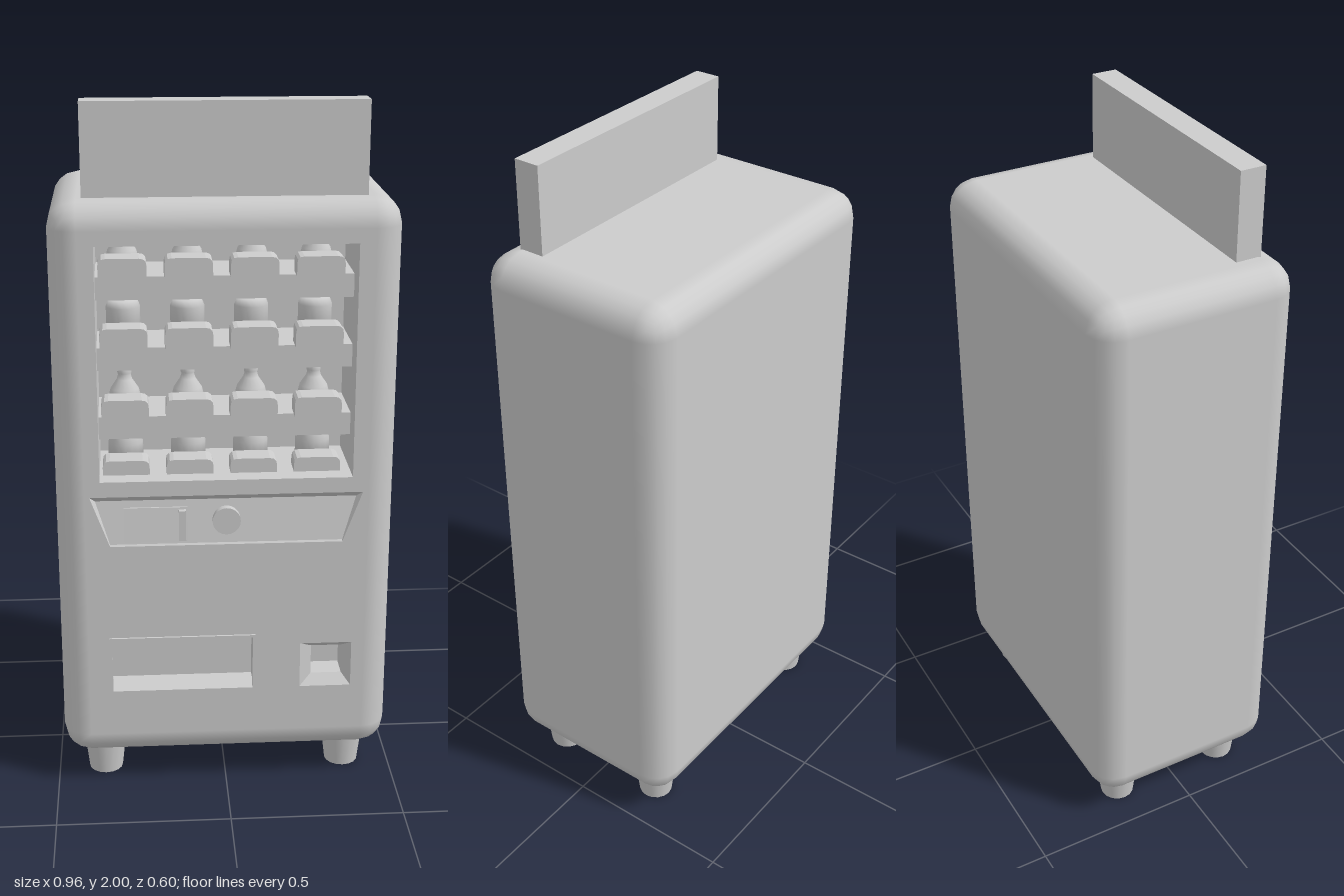
import * as THREE from 'three';
import { RoundedBoxGeometry } from 'three/addons/geometries/RoundedBoxGeometry.js';

const W = 0.96, H = 1.66, D = 0.59, R = 0.08, CY = 0.92, FRONT = D / 2;
const smooth = new THREE.MeshStandardMaterial({ color: 0xcccccc });
const flat = new THREE.MeshStandardMaterial({ color: 0xcccccc, flatShading: true });

function add(parent, name, geometry, x = 0, y = 0, z = 0, material = smooth) {
  const mesh = new THREE.Mesh(geometry, material);
  mesh.name = name;
  mesh.position.set(x, y, z);
  parent.add(mesh);
  return mesh;
}

const box = (w, h, d) => new THREE.BoxGeometry(w, h, d);
const rect = (x0, x1, y0, y1, z) => [[x0, y0, z], [x1, y0, z], [x1, y1, z], [x0, y1, z]];

// Inward-facing pocket between a front ring and a back ring of four corners
function pocket(front, back, closed = true) {
  const p = [];
  for (let i = 0; i < 4; i++) {
    const j = (i + 1) % 4;
    p.push(...front[i], ...front[j], ...back[j], ...front[i], ...back[j], ...back[i]);
  }
  if (closed) p.push(...back[0], ...back[1], ...back[2], ...back[0], ...back[2], ...back[3]);
  const g = new THREE.BufferGeometry();
  g.setAttribute('position', new THREE.Float32BufferAttribute(p, 3));
  g.computeVertexNormals();
  return g;
}

// Rounded shell without its flat front, which is rebuilt with openings
function openShell() {
  const src = new RoundedBoxGeometry(W, H, D, 2, R);
  const pos = src.attributes.position, nor = src.attributes.normal;
  const p = [], n = [];
  for (let i = 0; i < pos.count; i += 3) {
    if ([0, 1, 2].every((k) => pos.getZ(i + k) > FRONT - 1e-4)) continue;
    for (let k = i; k < i + 3; k++) {
      p.push(pos.getX(k), pos.getY(k), pos.getZ(k));
      n.push(nor.getX(k), nor.getY(k), nor.getZ(k));
    }
  }
  const g = new THREE.BufferGeometry();
  g.setAttribute('position', new THREE.Float32BufferAttribute(p, 3));
  g.setAttribute('normal', new THREE.Float32BufferAttribute(n, 3));
  return g;
}

function frontPanel(holes) {
  const toPoints = (ring) => ring.map(([x, y]) => new THREE.Vector2(x, y));
  const shape = new THREE.Shape(toPoints(rect(-W / 2 + R, W / 2 - R, CY - H / 2 + R, CY + H / 2 - R)));
  for (const ring of holes) shape.holes.push(new THREE.Path(toPoints(ring).reverse()));
  return new THREE.ShapeGeometry(shape);
}

const lathe = (profile) => new THREE.LatheGeometry(profile.map(([r, y]) => new THREE.Vector2(r, y)), 16);

// Label block with rounded top corners, standing on y = 0
function labelBlock(h) {
  const w = 0.066, r = 0.02, s = new THREE.Shape();
  s.moveTo(-w, 0);
  s.lineTo(w, 0);
  s.lineTo(w, h - r);
  s.quadraticCurveTo(w, h, w - r, h);
  s.lineTo(-w + r, h);
  s.quadraticCurveTo(-w, h, -w, h - r);
  return new THREE.ExtrudeGeometry(s, { depth: 0.07, bevelEnabled: false, curveSegments: 3 });
}

export function createModel() {
  const model = new THREE.Group();
  model.name = 'vendingMachine';

  // Cabinet
  const windowRing = rect(-0.355, 0.355, 0.965, 1.63, FRONT);
  const trayRing = rect(-0.335, 0.08, 0.31, 0.48, FRONT);
  const changeRing = rect(0.215, 0.365, 0.31, 0.45, FRONT);
  const controlRing = [[-0.33, 0.77, FRONT], [0.33, 0.77, FRONT], [0.385, 0.92, FRONT], [-0.385, 0.92, FRONT]];
  add(model, 'cabinetShell', openShell(), 0, CY, 0);
  add(model, 'frontPanel', frontPanel([windowRing, trayRing, changeRing, controlRing]), 0, 0, FRONT);

  // Recesses
  add(model, 'displayRecess', pocket(windowRing, rect(-0.355, 0.355, 0.965, 1.63, 0.03)), 0, 0, 0, flat);
  add(model, 'pickupRecess', pocket(trayRing, rect(-0.335, 0.08, 0.31, 0.48, 0.2)), 0, 0, 0, flat);
  const throat = rect(0.25, 0.34, 0.34, 0.43, 0.27);
  add(model, 'changeFunnel', pocket(changeRing, throat, false), 0, 0, 0, flat);
  add(model, 'changeRecess', pocket(throat, rect(0.25, 0.34, 0.34, 0.43, 0.2)), 0, 0, 0, flat);
  const slope = [[-0.33, 0.775, 0.291], [0.33, 0.775, 0.291], [0.37, 0.9, 0.27], [-0.37, 0.9, 0.27]];
  add(model, 'controlPanel', pocket(controlRing, slope), 0, 0, 0, flat);

  // Thin raised trim round the pickup opening
  const trim = 0.008;
  for (const y of [0.31, 0.48]) add(model, 'pickupTrim', box(0.415 + trim, trim, 0.012), -0.1275, y, FRONT);
  for (const x of [-0.335, 0.08]) add(model, 'pickupTrim', box(trim, 0.17, 0.012), x, 0.395, FRONT);

  // Coin plate and round button
  const plate = add(model, 'coinPlate', box(0.18, 0.1, 0.02), -0.2, 0.83, 0.28);
  plate.rotation.x = -0.16;
  add(model, 'coinSlot', box(0.02, 0.09, 0.02), -0.125, 0.83, 0.288);
  const button = add(model, 'button', new THREE.CylinderGeometry(0.04, 0.04, 0.03, 20), 0, 0.84, 0.28);
  button.rotation.x = Math.PI / 2;

  // Shelves: y of the top, label height, and product profile
  const tall = [[0, 0], [0.045, 0], [0.045, 0.035], [0.04, 0.055], [0.022, 0.082], [0.018, 0.095]];
  const rows = [
    { y: 1.53, label: 0.055, profile: [...tall, [0.018, 0.1], [0, 0.1]] },
    { y: 1.33, label: 0.06, profile: [[0, 0], [0.048, 0], [0.048, 0.095], [0.04, 0.115], [0, 0.115]] },
    { y: 1.13, label: 0.055, profile: [...tall, [0.02, 0.1], [0.02, 0.13], [0, 0.13]] },
    { y: 0.965, label: 0.042, profile: [[0, 0], [0.05, 0], [0.05, 0.06], [0.043, 0.08], [0.04, 0.097], [0, 0.097]] },
  ];
  rows.forEach(({ y, label, profile }, row) => {
    const shelf = new THREE.Group();
    shelf.name = 'shelfRow' + (row + 1);
    shelf.position.y = y;
    model.add(shelf);
    if (row < 3) add(shelf, 'shelf', box(0.71, 0.065, 0.185), 0, -0.0325, 0.1225);
    const product = lathe(profile), block = labelBlock(label);
    for (const x of [-0.28, -0.1, 0.08, 0.26]) {
      add(shelf, 'label', block, x, 0, 0.17, flat);
      add(shelf, 'product', product, x, 0, 0.115);
    }
  });

  // Sign board on the roof
  add(model, 'signBoard', box(0.77, 0.255, 0.075), 0, 1.8725, 0.1875);

  // Tapered feet
  const foot = new THREE.CylinderGeometry(0.063, 0.05, 0.11, 16);
  for (const x of [-0.36, 0.36]) for (const z of [-0.18, 0.18]) add(model, 'foot', foot, x, 0.055, z);

  return model;
}
